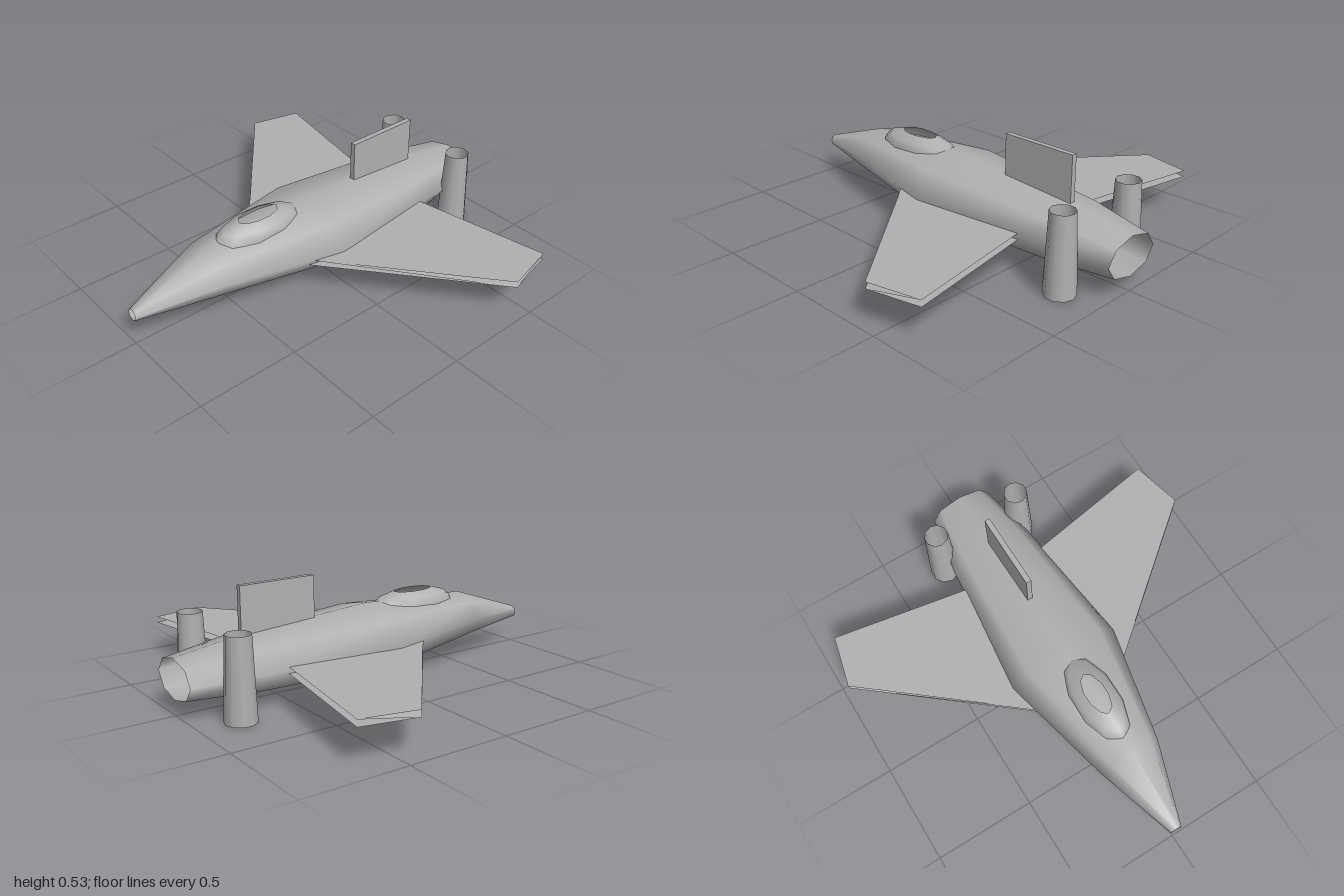
import * as THREE from 'three';

export function createModel() {
  const grey = new THREE.MeshStandardMaterial({ color: 0xb0b0b0, side: THREE.DoubleSide });
  grey.name = 'hull grey';

  const model = new THREE.Group();
  model.name = 'spacecraft';
  const add = (name, geometry, parent = model) => {
    const mesh = new THREE.Mesh(geometry, grey);
    mesh.name = name;
    parent.add(mesh);
    return mesh;
  };
  const build = (positions, index) => {
    const g = new THREE.BufferGeometry();
    g.setAttribute('position', new THREE.Float32BufferAttribute(positions, 3));
    g.setIndex(index);
    g.computeVertexNormals();
    return g;
  };

  // Fuselage: open eight-sided tube; each station is z, half width, bottom, top
  const stations = [
    [1, 0.03, 0.135, 0.195],
    [0.6, 0.16, 0.1, 0.332],
    [0.02, 0.29, 0.04, 0.357],
    [-0.68, 0.222, 0.05, 0.31],
    [-1, 0.16, 0.07, 0.262],
  ];
  const sides = 8, positions = [], index = [];
  stations.forEach(([z, rx, bottom, top], i) => {
    for (let k = 0; k < sides; k++) {
      const a = (k / sides) * Math.PI * 2;
      positions.push(rx * Math.sin(a), (top + bottom) / 2 + ((top - bottom) / 2) * Math.cos(a), z);
      if (i === stations.length - 1) continue;
      const p = i * sides + k, q = i * sides + ((k + 1) % sides);
      index.push(p, q, p + sides, q, q + sides, p + sides);
    }
  });
  add('fuselage', build(positions, index));

  // Canopy: low elliptical dome with an open top
  const profile = [[0.25, 0.29], [0.24, 0.33], [0.2, 0.36], [0.11, 0.386]];
  const canopy = add('canopy', new THREE.LatheGeometry(profile.map(([r, y]) => new THREE.Vector2(r, y)), 10));
  canopy.scale.x = 0.45;
  canopy.position.z = 0.3;

  // Tail fin
  add('tailFin', new THREE.BoxGeometry(0.027, 0.26, 0.385)).position.set(0, 0.405, -0.483);

  // Wings: upper and lower sheets joined by one sloping web
  const outline = [[0.2, 0.21], [0.965, -0.42], [0.905, -0.68], [0.2, -0.555]];
  const sheet = (y) => outline.flatMap(([x, z]) => [x, y, z]);
  const high = 0.197, low = 0.166;
  const web = [0.24, high, 0.18, 0.965, low, -0.42, 0.905, high, -0.68];

  for (const side of [1, -1]) {
    const half = new THREE.Group();
    half.name = side > 0 ? 'leftSide' : 'rightSide';
    half.scale.x = side;
    model.add(half);
    add('wingTop', build(sheet(high), [0, 1, 2, 0, 2, 3]), half);
    add('wingBottom', build(sheet(low), [0, 2, 1, 0, 3, 2]), half);
    add('wingWeb', build(web, [0, 1, 2]), half);

    // Upright tapered thruster tube, open at both ends
    add('thruster', new THREE.CylinderGeometry(0.059, 0.075, 0.39, 10, 1, true), half)
      .position.set(0.228, 0.195, -0.805);
  }
  return model;
}
